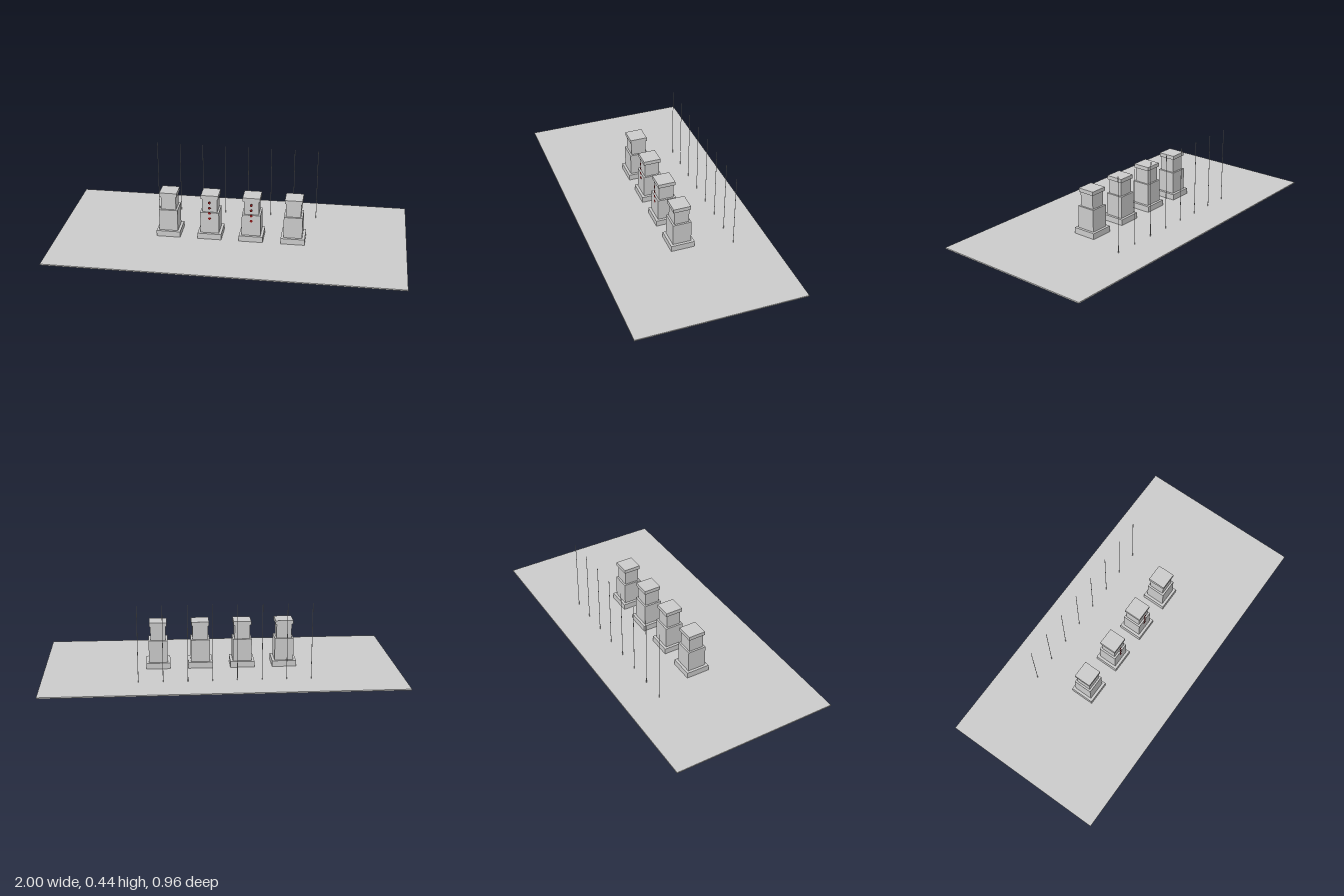
import * as THREE from 'three';

const grey = new THREE.MeshStandardMaterial({ color: 0xcccccc });
const red = new THREE.MeshStandardMaterial({ color: 0x8b1a1a });
const GROUND = 0.007;

function add(parent, name, geometry, x, y, z, material = grey) {
  const mesh = new THREE.Mesh(geometry, material);
  mesh.name = name;
  mesh.position.set(x, y, z);
  parent.add(mesh);
  return mesh;
}

// Square block standing between two heights
function block(parent, name, width, y0, y1) {
  add(parent, name, new THREE.BoxGeometry(width, y1 - y0, width), 0, (y0 + y1) / 2, 0);
}

// Stepped pedestal, optionally with a column of round marks on its front
function pedestal(x, marked) {
  const group = new THREE.Group();
  group.name = 'pedestal';
  group.position.set(x, 0, 0.001);
  block(group, 'plinth', 0.137, GROUND, 0.041);
  block(group, 'lowerShaft', 0.107, 0.041, 0.169);
  block(group, 'upperShaft', 0.086, 0.169, 0.252);
  block(group, 'cap', 0.1, 0.252, 0.274);
  if (marked) {
    for (let i = 0; i < 4; i++) {
      const disc = new THREE.CylinderGeometry(0.008, 0.008, 0.002, 12).rotateX(Math.PI / 2);
      add(group, 'frontMark', disc, 0, 0.232 - i * 0.033, 0.0545, red);
    }
  }
  return group;
}

export function createModel() {
  const model = new THREE.Group();
  model.name = 'pedestalRow';

  // Ground slab
  add(model, 'groundSlab', new THREE.BoxGeometry(2, GROUND, 0.96), 0, GROUND / 2, 0);

  // Four pedestals, the middle two marked
  for (let i = 0; i < 4; i++) {
    model.add(pedestal(-0.361 + i * 0.239, i === 1 || i === 2));
  }

  // Row of thin rods behind
  const rod = new THREE.CylinderGeometry(0.0016, 0.0016, 0.44 - GROUND, 8);
  for (let i = 0; i < 8; i++) {
    add(model, 'rod', rod, -0.484 + i * 0.136, (0.44 + GROUND) / 2, -0.28);
  }
  return model;
}
